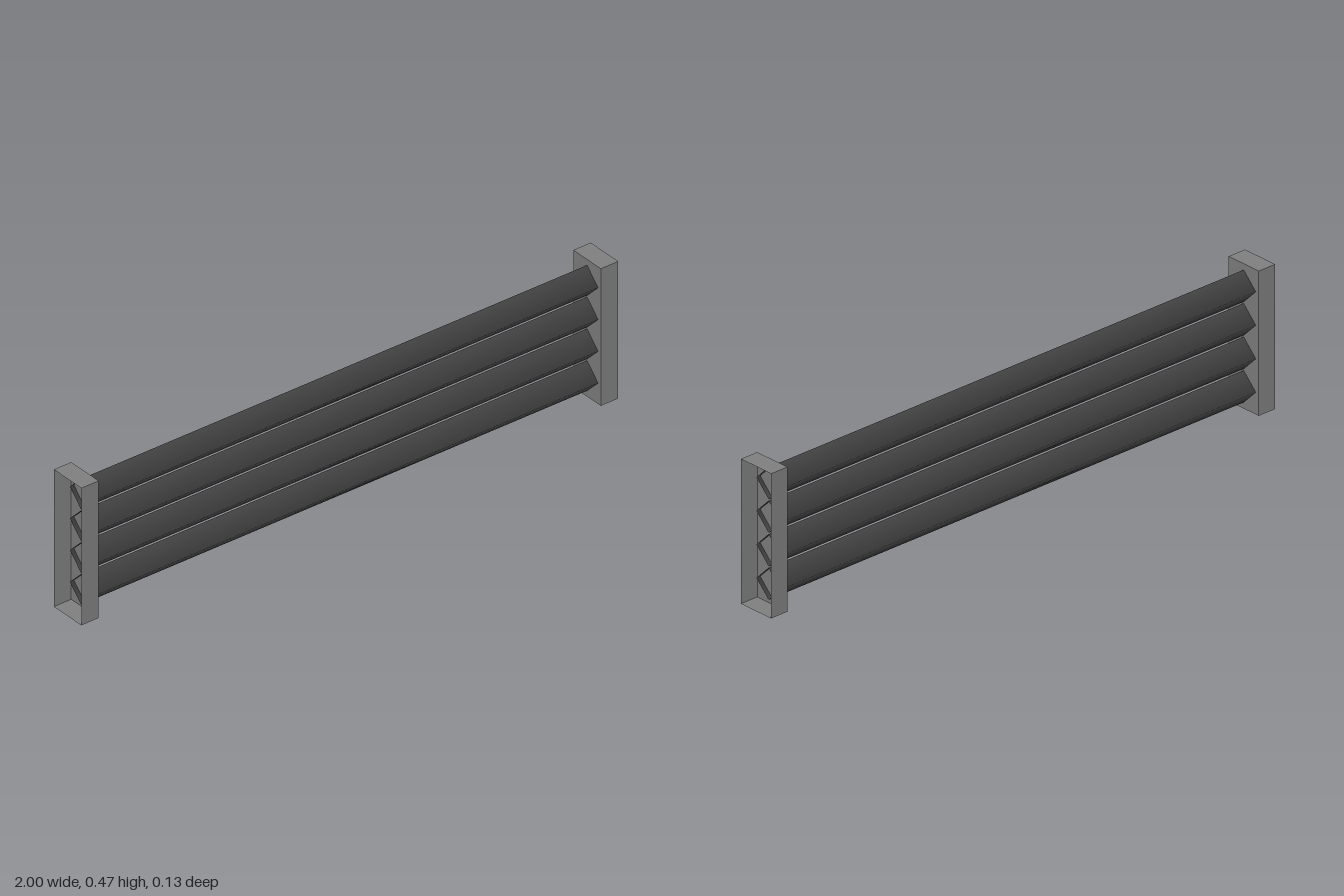
import * as THREE from 'three';

const HEIGHT = 0.475, DEPTH = 0.13, CAP = 0.065;

// Thin-walled tray whose outer (+x) side is open
function trayGeometry() {
  const g = new THREE.BoxGeometry(CAP, HEIGHT, DEPTH);
  g.setIndex(Array.from(g.index.array).slice(6)); // drop the +x face
  g.clearGroups();
  return g;
}

export function createModel() {
  const model = new THREE.Group();
  model.name = 'tubeRack';
  const capMaterial = new THREE.MeshStandardMaterial({ color: 0x808080, side: THREE.DoubleSide });
  const tubeMaterial = new THREE.MeshStandardMaterial({ color: 0x444444, side: THREE.DoubleSide });

  // Open trays at both ends, hollow side facing outwards
  const tray = trayGeometry();
  for (const side of [1, -1]) {
    const cap = new THREE.Mesh(tray, capMaterial);
    cap.name = side > 0 ? 'leftEndCap' : 'rightEndCap';
    cap.position.set(side * (1 - CAP / 2), HEIGHT / 2, 0);
    if (side < 0) cap.rotation.y = Math.PI;
    model.add(cap);
  }

  // Four open four-sided tubes, smooth shaded, poking slightly through the trays
  const tubeGeometry = new THREE.CylinderGeometry(0.0525, 0.0525, 1.9, 4, 1, true);
  tubeGeometry.rotateZ(Math.PI / 2);
  for (let i = 0; i < 4; i++) {
    const tube = new THREE.Mesh(tubeGeometry, tubeMaterial);
    tube.name = `tube${i + 1}`;
    tube.position.y = HEIGHT / 2 + (i - 1.5) * 0.11;
    model.add(tube);
  }
  return model;
}
